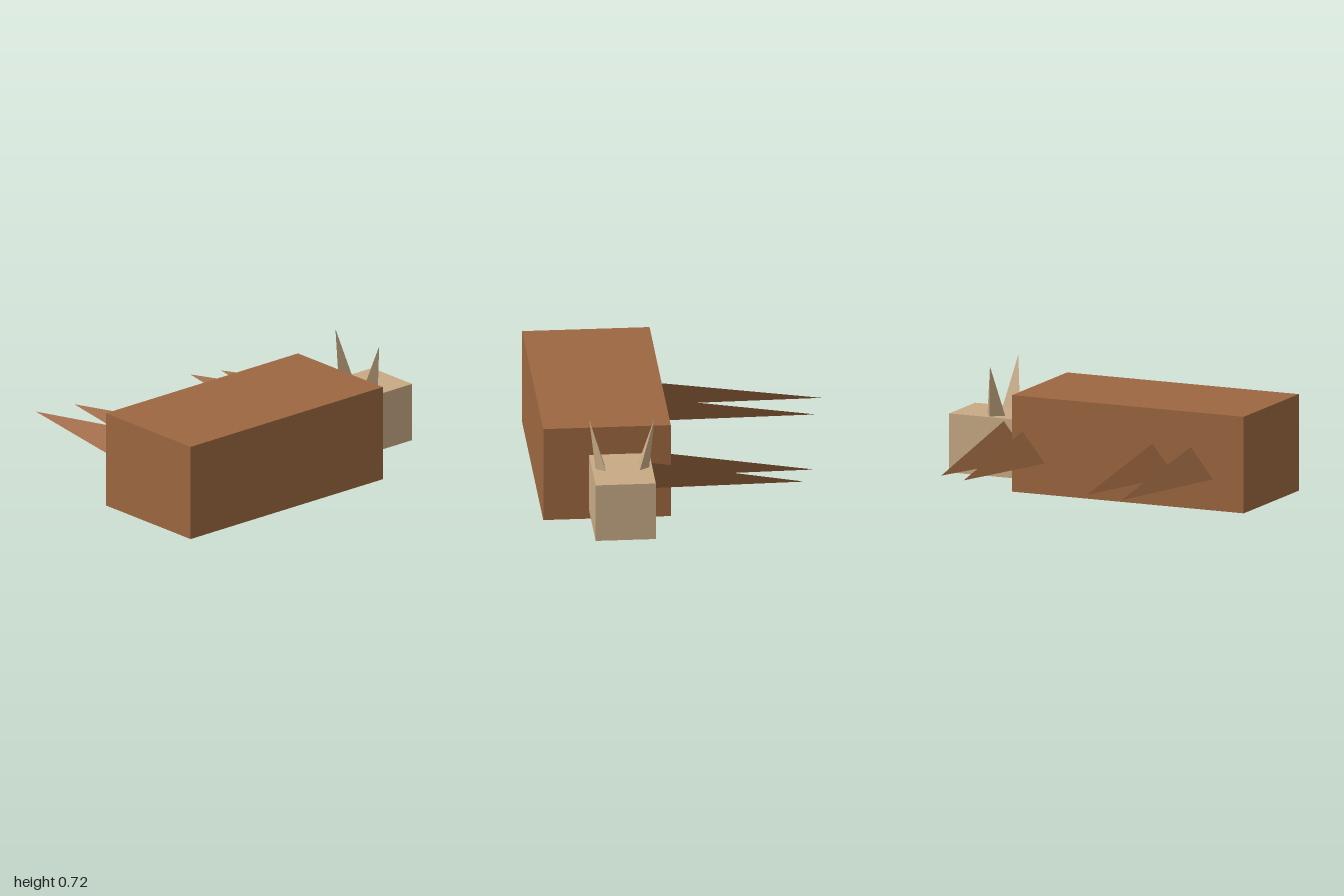
import * as THREE from 'three';
import { ConvexGeometry } from 'three/addons/geometries/ConvexGeometry.js';

export function createModel() {
  const group = new THREE.Group();
  const brown = new THREE.MeshStandardMaterial({ name: 'brown hide', color: 0x9c6740 });
  const tan = new THREE.MeshStandardMaterial({ name: 'tan face', color: 0xc8aa85 });

  const add = (name, geometry, material) => {
    const mesh = new THREE.Mesh(geometry, material);
    mesh.name = name;
    group.add(mesh);
  };

  // Box given by its lowest and highest corner
  const box = (name, min, max, material) => {
    const size = max.map((v, i) => v - min[i]);
    const geometry = new THREE.BoxGeometry(...size);
    geometry.translate(...max.map((v, i) => (v + min[i]) / 2));
    add(name, geometry, material);
  };

  // Three-sided spike; its base is pushed further away from the tip by the factor sink
  const spike = (name, base, tip, sink, material) => {
    const apex = new THREE.Vector3(...tip);
    const corners = base.map((p) => apex.clone().lerp(new THREE.Vector3(...p), sink));
    add(name, new ConvexGeometry([apex, ...corners]), material);
  };

  box('body', [-1, 0, 0.125], [0.525, 0.585, 0.885], brown);
  box('head', [0.525, 0.053, 0.253], [1, 0.41, 0.612], tan);

  // Legs: left edge at the body, tip x and tip z
  const legs = [
    [-0.797, -0.67, -0.875],
    [-0.545, -0.417, -0.817],
    [0.31, 0.433, -0.737],
    [0.491, 0.615, -0.665],
  ];
  legs.forEach(([x, tipX, tipZ], i) => {
    const base = [
      [x, 0.188, 0.125],
      [x + 0.065, 0.198, 0.125],
      [x + 0.146, 0.372, 0.125],
    ];
    spike(`leg${i + 1}`, base, [tipX, 0.232, tipZ], 1.2, brown);
  });

  // Ears lean outward, mirrored about the middle of the head
  for (const side of [-1, 1]) {
    const z = (offset) => 0.432 + side * offset;
    const base = [
      [0.668, 0.41, z(0.102)],
      [0.785, 0.41, z(0.102)],
      [0.745, 0.41, z(0.16)],
    ];
    spike(side > 0 ? 'frontEar' : 'backEar', base, [0.724, 0.722, z(0.196)], 1.04, tan);
  }

  return group;
}
